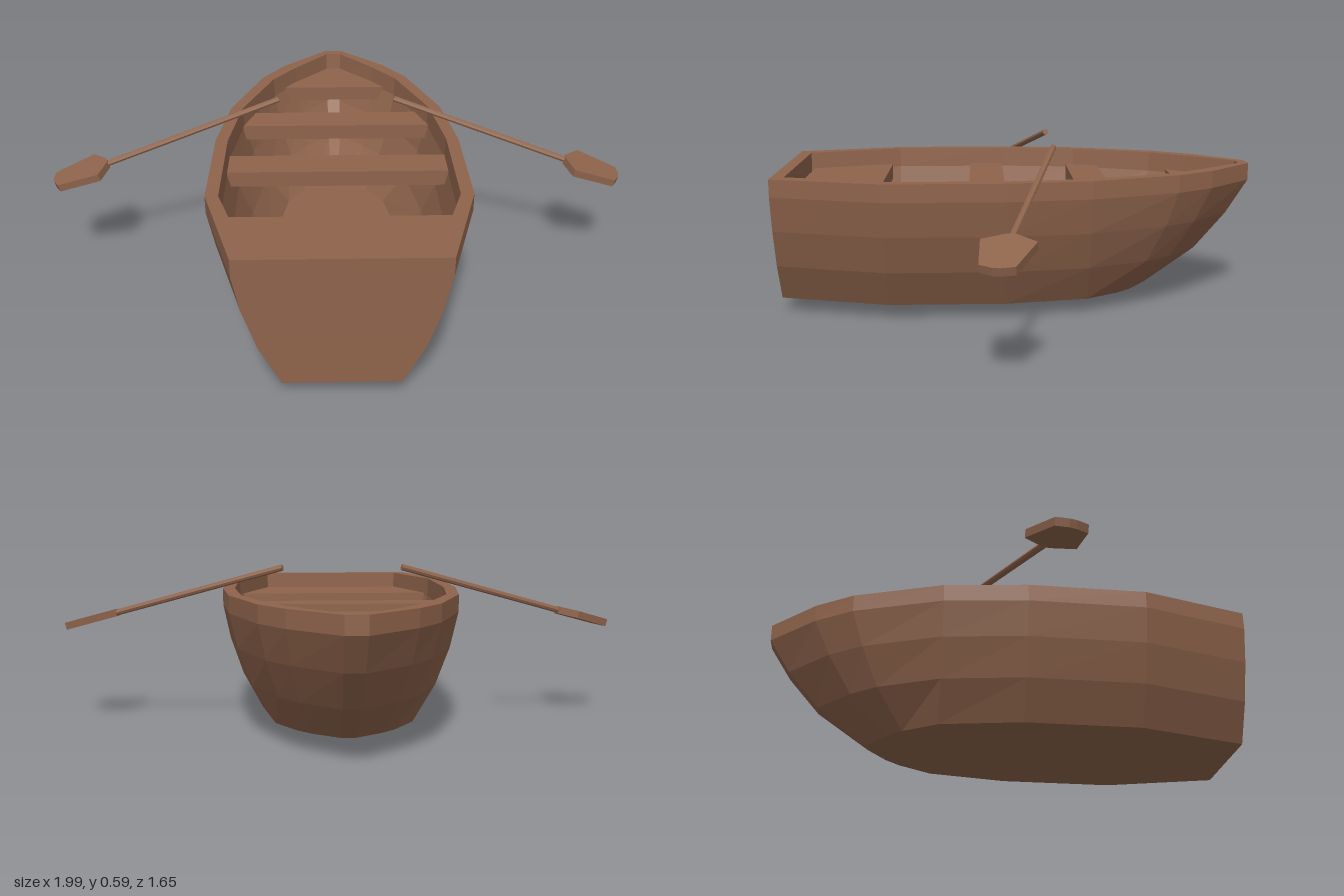
import * as THREE from 'three';

const wood = new THREE.MeshStandardMaterial({ color: 0x8f644c });
wood.name = 'brown wood';

// Stations from stern to bow: z, half width, how strongly the side narrows downwards, keel height
const STATIONS = [
  [0.825, 0.32, 1.3, 0.05], [0.45, 0.425, 1, 0.017], [0.05, 0.425, 1, 0], [-0.23, 0.39, 1.2, 0.018],
  [-0.53, 0.285, 1.3, 0.035], [-0.66, 0.2, 1.3, 0.042], [-0.825, 0.035, 1, 0.05],
];
// Levels: y, width factor, z of the stem
const OUTER = [[0.05, 0.67, -0.46], [0.18, 0.835, -0.64], [0.31, 0.94, -0.75], [0.43, 1, -0.825], [0.49, 1, -0.825]];
const INNER = [[0.49, 1, -0.79], [0.42, 0.99, -0.785], [0.31, 0.92, -0.71], [0.2, 0.8, -0.6], [0.09, 0.61, -0.43]];
const KNEE = -0.23; // stations forward of this slide aft on lower levels

function mesh(name, geometry) {
  const flat = geometry.index ? geometry.toNonIndexed() : geometry;
  flat.computeVertexNormals();
  const m = new THREE.Mesh(flat, wood);
  m.name = name;
  return m;
}

// Closed ring round the boat at one level; inset is the plank thickness
function ring([y, factor, stemZ], inset, centre = false) {
  const slide = (stemZ - KNEE) / (-0.825 - KNEE);
  const side = STATIONS.map(([z, half, narrow, keelY], i) => {
    const w = Math.max(half - inset, 0.028) * (1 - (1 - factor) * narrow);
    const zz = z < KNEE ? KNEE + (z - KNEE) * slide : i === 0 ? z - inset : z;
    return [centre ? 0 : w, centre && !inset ? keelY : y, zz];
  });
  const other = side.map(([x, py, z]) => [-x, py, z]).reverse();
  return [...side, ...other];
}

// Skin a list of rings with flat quads
function loft(rings) {
  const pos = [];
  for (let r = 0; r < rings.length - 1; r++) {
    const a = rings[r], b = rings[r + 1], n = a.length;
    for (let i = 0; i < n; i++) {
      const j = (i + 1) % n;
      pos.push(...a[i], ...a[j], ...b[j], ...a[i], ...b[j], ...b[i]);
    }
  }
  const g = new THREE.BufferGeometry();
  g.setAttribute('position', new THREE.Float32BufferAttribute(pos, 3));
  return g;
}

// Flat board from an [x, z] outline, with its top at y
function board(outline, thickness, top) {
  const shape = new THREE.Shape(outline.map(([x, z]) => new THREE.Vector2(x, -z)));
  const g = new THREE.ExtrudeGeometry(shape, { depth: thickness, bevelEnabled: false });
  g.rotateX(-Math.PI / 2).translate(0, top - thickness, 0);
  return g;
}

function makeOar(side) {
  const oar = new THREE.Group();
  oar.name = side > 0 ? 'leftOar' : 'rightOar';
  const start = new THREE.Vector3(side * 0.208, 0.575, -0.112);
  const end = new THREE.Vector3(side * 0.815, 0.402, 0.047);
  const along = end.clone().sub(start);
  const length = along.length();
  along.normalize();
  const across = new THREE.Vector3().crossVectors(along, new THREE.Vector3(0, 1, 0)).normalize();
  const up = new THREE.Vector3().crossVectors(across, along);
  oar.matrix.makeBasis(along, up, across).setPosition(start);
  oar.matrix.decompose(oar.position, oar.quaternion, oar.scale);

  const shaft = new THREE.CylinderGeometry(0.011, 0.011, length + 0.02, 8);
  shaft.rotateZ(-Math.PI / 2).translate((length + 0.02) / 2, 0, 0);
  oar.add(mesh('oarShaft', shaft));

  const half = [[0, 0.012], [0.04, 0.083], [0.183, 0.052], [0.195, 0.012]];
  const outline = [...half, ...half.map(([x, z]) => [x, -z]).reverse()]
    .map(([x, z]) => [x + length - 0.008, z]).reverse();
  oar.add(mesh('oarBlade', board(outline, 0.026, 0.013)));
  return oar;
}

export function createModel() {
  const boat = new THREE.Group();
  boat.name = 'rowingBoat';

  // Hull: keel, outer planking, rim, inner planking, floor
  boat.add(mesh('hull', loft([
    ring(OUTER[0], 0, true),
    ...OUTER.map((level) => ring(level, 0)),
    ...INNER.map((level) => ring(level, 0.043)),
    ring(INNER[4], 0.043, true),
  ])));

  // Seats: name, aft z, aft half width, fore z, fore half width
  const seats = [
    ['sternSeat', 0.77, 0.285, 0.48, 0.37], ['middleSeat', 0.175, 0.378, 0.05, 0.378],
    ['foreSeat', -0.2, 0.345, -0.32, 0.305], ['bowSeat', -0.57, 0.208, -0.775, 0.028],
  ];
  for (const [name, z0, w0, z1, w1] of seats) {
    boat.add(mesh(name, board([[-w0, z0], [w0, z0], [w1, z1], [-w1, z1]], 0.055, 0.43)));
  }

  for (const side of [1, -1]) boat.add(makeOar(side));
  return boat;
}
